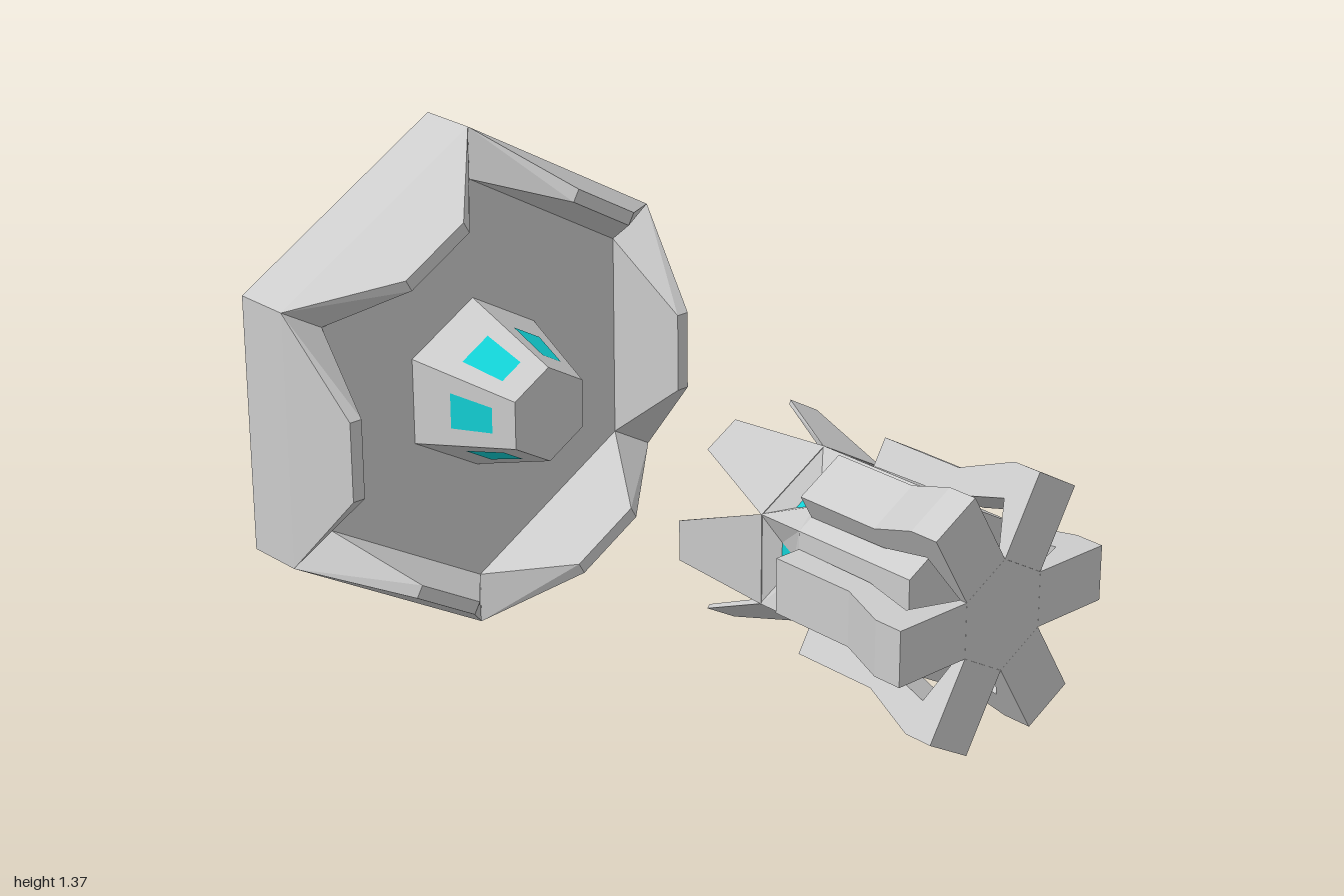
import * as THREE from 'three';
import { ConvexGeometry } from 'three/addons/geometries/ConvexGeometry.js';

const grey = new THREE.MeshStandardMaterial({ color: 0xcccccc, flatShading: true });
const cyan = new THREE.MeshStandardMaterial({ color: 0x12d0d4, flatShading: true });
const APOTHEM = Math.cos(Math.PI / 6);

function add(parent, name, geometry, material = grey) {
  const mesh = new THREE.Mesh(geometry, material);
  mesh.name = name;
  parent.add(mesh);
}

// Hexagonal prism or frustum along z, one corner pointing up
function hexPrism(rBack, rFront, z0, z1) {
  return new THREE.CylinderGeometry(rFront, rBack, z1 - z0, 6)
    .rotateX(Math.PI / 2).translate(0, 0, (z0 + z1) / 2);
}

// Four corners [x, y, z] at a low and a high z, in order around +x
const ring = (x0, h0, z0, x1, h1, z1) => [[x0, -h0, z0], [x0, h0, z0], [x1, h1, z1], [x1, -h1, z1]];

function quads(list) {
  const pos = list.flatMap(([a, b, c, d]) => [a, b, c, a, c, d]).flat();
  const g = new THREE.BufferGeometry();
  g.setAttribute('position', new THREE.Float32BufferAttribute(pos, 3));
  g.computeVertexNormals();
  return g;
}

const hull = (...pts) => new ConvexGeometry(pts.map(p => new THREE.Vector3(...p)));

// Repeat one hexagon side six times around the z axis
function sixfold(parent, name, build) {
  for (let i = 0; i < 6; i++) {
    const side = new THREE.Group();
    side.name = name;
    side.rotation.z = i * Math.PI / 3;
    build(side);
    parent.add(side);
  }
}

function createSocket() {
  const socket = new THREE.Group();
  socket.name = 'socket';
  const R = 0.683, rIn = 0.546, floor = -0.84, top = -0.635;
  add(socket, 'basePlate', hexPrism(R, R, -1, floor));

  // Raised rim walls
  const wall = hull(
    ...ring(rIn * APOTHEM, rIn / 2, floor, 0.515, 0.105, top),
    ...ring(R * APOTHEM, R / 2, floor, 0.55, 0.105, top));

  // Central boss with inlaid panels
  const zTip = -0.545, rTip = 0.127, rBase = 0.23;
  add(socket, 'boss', hexPrism(rBase, rTip, floor, zTip));
  const rad = z => rTip + (rBase - rTip) * (zTip - z) / (zTip - floor);
  const zA = -0.73, zB = -0.61;
  const panel = quads([ring(
    rad(zA) * APOTHEM + 0.002, rad(zA) * 0.25, zA,
    rad(zB) * APOTHEM + 0.002, rad(zB) * 0.23, zB)]);

  sixfold(socket, 'socketSide', side => {
    add(side, 'rimWall', wall);
    add(side, 'bossPanel', panel, cyan);
  });
  return socket;
}

function createPlug() {
  const plug = new THREE.Group();
  plug.name = 'plug';
  const R = 0.225, a = R * APOTHEM, back = 0.43, mid = 0.555;
  add(plug, 'core', hexPrism(R, R, mid, 0.9));
  add(plug, 'backPlate', hexPrism(R, R, back, back + 0.003));
  add(plug, 'frontHub', hexPrism(0.136, 0.136, 0.98, 1));

  // Bent arm from the hub back along the core, as a radius / z profile
  const profile = [[0.118, 1], [0.323, 1], [0.323, 0.925], [0.265, 0.785], [0.265, mid],
    [a, mid], [0.2, 0.785], [0.24, 0.935], [0.118, 0.98]];
  const arm = new THREE.ExtrudeGeometry(
    new THREE.Shape(profile.map(p => new THREE.Vector2(...p))),
    { depth: 0.136, bevelEnabled: false }).rotateX(Math.PI / 2).translate(0, 0.068, 0);

  // Collar side sunk towards an inset panel
  const outer = ring(a, R / 2, back, a, R / 2, mid);
  const inner = ring(a - 0.03, 0.046, 0.47, a - 0.025, 0.027, 0.515);
  const recess = quads(outer.map((p, i) => {
    const j = (i + 1) % 4;
    return [p, outer[j], inner[j], inner[i]];
  }));
  const panel = quads([inner]);

  // Flared rear fin
  const fin = hull(
    ...ring(0.252, 0.048, 0.23, 0.178, 0.1, back),
    ...ring(0.263, 0.05, 0.23, a, R / 2, back));

  sixfold(plug, 'plugSide', side => {
    add(side, 'arm', arm);
    add(side, 'collarRecess', recess);
    add(side, 'collarPanel', panel, cyan);
    add(side, 'fin', fin);
  });
  return plug;
}

export function createModel() {
  const model = new THREE.Group();
  model.name = 'plugAndSocket';
  const axis = new THREE.Group();
  axis.name = 'axis';
  axis.position.y = 0.684;
  axis.add(createSocket(), createPlug());
  model.add(axis);
  return model;
}
